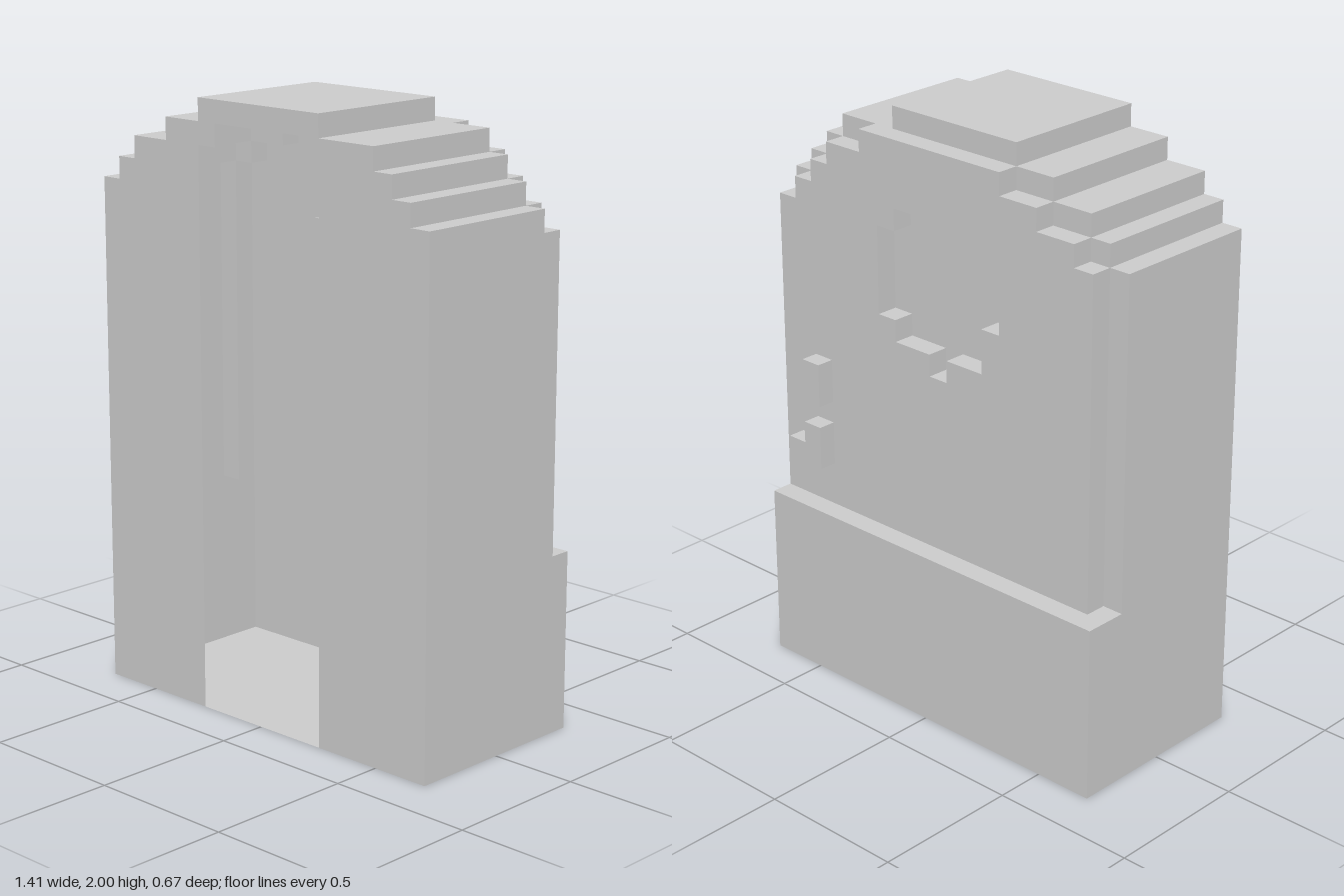
import * as THREE from 'three';

const U = 2 / 27; // one block of the stepped grid
const material = new THREE.MeshStandardMaterial({ color: 0xcccccc, side: THREE.DoubleSide, flatShading: true });

// Stepped profiles, clockwise seen from the front, in blocks
const bodyTop = [[-9.5, 23], [-8.5, 23], [-8.5, 24], [-7.5, 24], [-7.5, 25], [-5.5, 25], [-5.5, 26],
  [-3.5, 26], [-3.5, 27], [3.5, 27], [3.5, 26], [6.5, 26], [6.5, 25], [7.5, 25], [7.5, 24],
  [8.5, 24], [8.5, 23], [9.5, 23]];
const slabTop = [[-8.5, 23], [-7.5, 23], [-7.5, 24], [-5.5, 24], [-5.5, 25], [-3.5, 25], [-3.5, 26],
  [4.5, 26], [4.5, 25], [6.5, 25], [6.5, 24], [7.5, 24], [7.5, 23], [8.5, 23], [8.5, 22], [9.5, 22]];
const doorway = [[3.5, 0], [3.5, 25], [2.5, 25], [2.5, 26], [-2.5, 26], [-2.5, 25], [-3.5, 25], [-3.5, 0]];
const windowOutline = [[-3.5, 19], [-3.5, 21], [-2.5, 21], [-2.5, 22], [-1.5, 22], [-1.5, 23], [2.5, 23],
  [2.5, 22], [3.5, 22], [3.5, 18], [2.5, 18], [2.5, 17], [0.5, 17], [0.5, 16], [-0.5, 16], [-0.5, 17],
  [-2.5, 17], [-2.5, 19]];
const slab = [[-8.5, 8], ...slabTop, [9.5, 8]];

const toVectors = (pts, sx) => pts.map(([x, y]) => new THREE.Vector2(x * U * sx, y * U));

// Flat wall at depth z, facing front or back
function wall(pts, z, facesBack = false, hole = null) {
  const sx = facesBack ? -1 : 1;
  const shape = new THREE.Shape(toVectors(pts, sx));
  if (hole) shape.holes.push(new THREE.Path(toVectors(hole, sx)));
  const geo = new THREE.ShapeGeometry(shape);
  if (facesBack) geo.rotateY(Math.PI);
  return geo.translate(0, 0, z * U);
}

// Stepped strip following a profile from depth z0 back to z1
function band(pts, z0, z1, closed = false) {
  const pos = [];
  const count = closed ? pts.length : pts.length - 1;
  for (let i = 0; i < count; i++) {
    const [ax, ay] = pts[i], [bx, by] = pts[(i + 1) % pts.length];
    pos.push(ax, ay, z0, bx, by, z0, bx, by, z1, ax, ay, z0, bx, by, z1, ax, ay, z1);
  }
  const geo = new THREE.BufferGeometry();
  geo.setAttribute('position', new THREE.Float32BufferAttribute(pos.map((v) => v * U), 3));
  geo.computeVertexNormals();
  return geo;
}

// Solid block given by its lower and upper corners
function block(x0, x1, y0, y1, z0, z1) {
  const geo = new THREE.BoxGeometry((x1 - x0) * U, (y1 - y0) * U, (z1 - z0) * U);
  return geo.translate((x0 + x1) / 2 * U, (y0 + y1) / 2 * U, (z0 + z1) / 2 * U);
}

export function createModel() {
  const model = new THREE.Group();
  const add = (name, ...geos) => {
    const part = new THREE.Group();
    part.name = name;
    geos.forEach((g) => {
      const mesh = new THREE.Mesh(g, material);
      mesh.name = name;
      part.add(mesh);
    });
    model.add(part);
  };

  // Hollow main shell with an open doorway in the front
  add('frontWall', wall([[-9.5, 0], ...bodyTop, [9.5, 0], ...doorway], 4.5));
  add('bodyShell', band([[-9.5, 0], ...bodyTop, [9.5, 0]], 4.5, -2.5, true));

  // Narrow rims where the shell steps in to the back slab
  const leftRim = [[-9.5, 8], ...bodyTop.slice(0, 11), ...slabTop.slice(0, 7).reverse(), [-8.5, 8]];
  const rightRim = [[4.5, 26], ...bodyTop.slice(11), ...slabTop.slice(8).reverse()];
  add('shellRim', wall(leftRim, -2.5, true), wall(rightRim, -2.5, true));

  // Back slab with a recessed window
  add('backSlab', wall(slab, -3.5, true, windowOutline), band(slab, -2.5, -3.5));
  add('windowRecess', wall(windowOutline, -2.5, true), band([...windowOutline].reverse(), -2.5, -3.5, true));

  // Deeper base with its ledge
  const baseOutline = [[9.5, 8], [9.5, 0], [-9.5, 0], [-9.5, 8]];
  add('base', wall(baseOutline, -4.5, true), band(baseOutline, -2.5, -4.5));
  add('baseLedge', band([[-9.5, 8], [9.5, 8]], -3.5, -4.5), band([[-9.5, 8], [-8.5, 8]], -2.5, -3.5));

  // Small fittings on the back
  add('upperFitting', block(6.5, 7.5, 13, 15, -4.32, -3.5));
  add('lowerFitting', block(6.5, 7.5, 10, 12, -4.32, -3.5), block(7.5, 8.5, 10, 11, -4.32, -3.5));

  return model;
}
